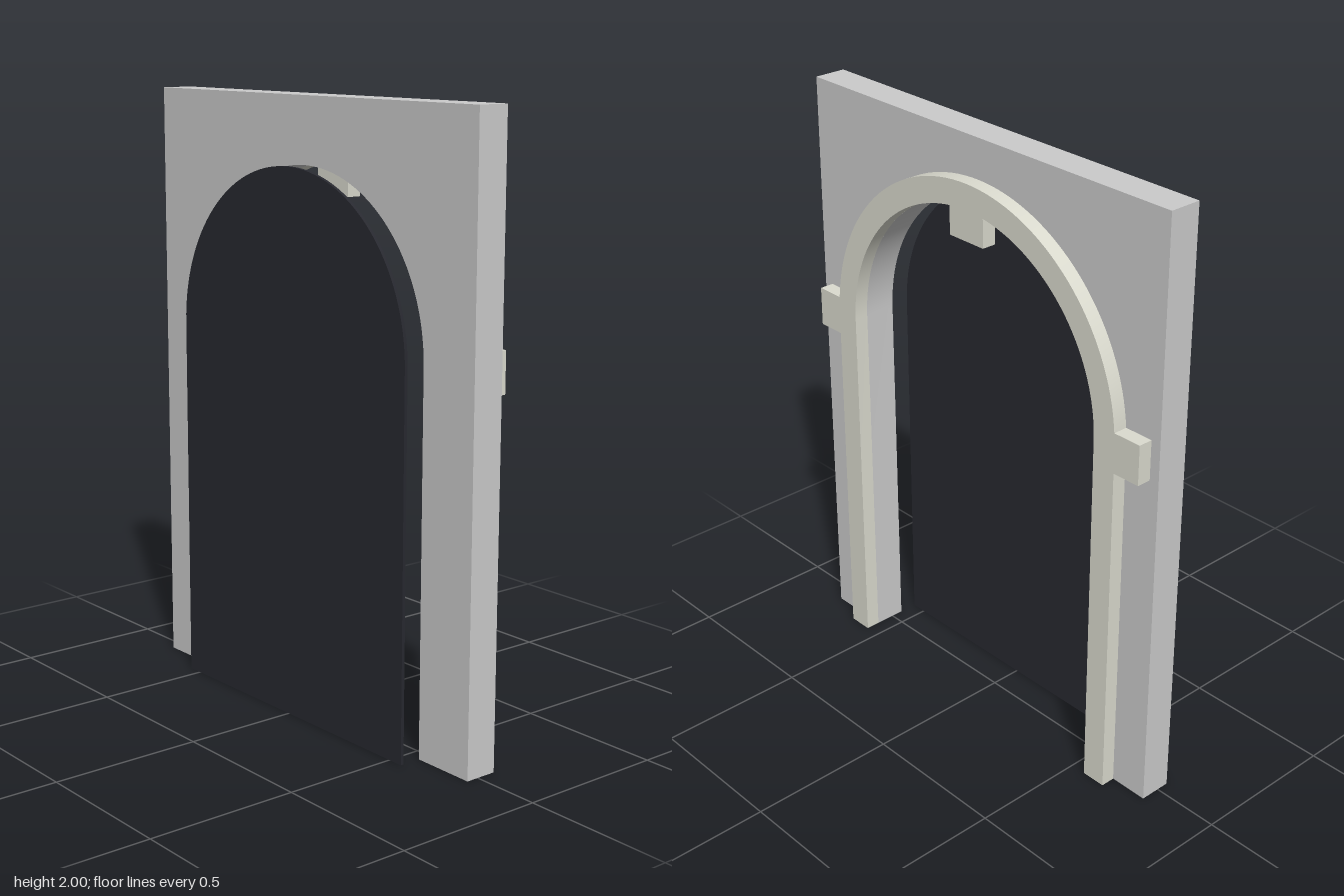
import * as THREE from 'three';
import { toCreasedNormals } from 'three/addons/utils/BufferGeometryUtils.js';

const R = 0.553;        // opening radius
const OUTER = 0.637;    // trim outer radius
const SPRING = 1.232;   // height where the arch starts
const WALL_X = 0.77;

// Extrude a shape between two z planes, smooth on curves and sharp on corners
function slab(name, shape, zBack, zFront, color) {
  const geo = new THREE.ExtrudeGeometry(shape, {
    depth: zFront - zBack, bevelEnabled: false, curveSegments: 32,
  });
  geo.translate(0, 0, zBack);
  const mesh = new THREE.Mesh(toCreasedNormals(geo, 0.5), new THREE.MeshStandardMaterial({ color }));
  mesh.name = name;
  return mesh;
}

export function createModel() {
  const group = new THREE.Group();
  group.name = 'archedDoorway';

  // Wall with an arched opening down to the floor
  const wall = new THREE.Shape();
  wall.moveTo(-WALL_X, 0);
  wall.lineTo(-R, 0);
  wall.lineTo(-R, SPRING);
  wall.absarc(0, SPRING, R, Math.PI, 0, true);
  wall.lineTo(R, 0);
  wall.lineTo(WALL_X, 0);
  wall.lineTo(WALL_X, 2);
  wall.lineTo(-WALL_X, 2);
  wall.closePath();
  group.add(slab('wall', wall, -0.067, 0.042, 0xcccccc));

  // Trim on the back: legs, side blocks, arch and hanging keystone in one outline
  const blockX = 0.735, blockLow = 1.155, blockHigh = 1.288;
  const blockAngle = Math.asin((blockHigh - SPRING) / OUTER);
  const keyX = 0.074, keyLow = 1.685;
  const keyAngle = Math.acos(keyX / R);
  const trim = new THREE.Shape();
  trim.moveTo(R, 0);
  trim.lineTo(OUTER, 0);
  trim.lineTo(OUTER, blockLow);
  trim.lineTo(blockX, blockLow);
  trim.lineTo(blockX, blockHigh);
  trim.absarc(0, SPRING, OUTER, blockAngle, Math.PI - blockAngle, false);
  trim.lineTo(-blockX, blockHigh);
  trim.lineTo(-blockX, blockLow);
  trim.lineTo(-OUTER, blockLow);
  trim.lineTo(-OUTER, 0);
  trim.lineTo(-R, 0);
  trim.absarc(0, SPRING, R, Math.PI, Math.PI - keyAngle, true);
  trim.lineTo(-keyX, keyLow);
  trim.lineTo(keyX, keyLow);
  trim.absarc(0, SPRING, R, keyAngle, 0, true);
  trim.closePath();
  group.add(slab('archTrim', trim, -0.116, -0.067, 0xdbdbcf));

  // Dark panel standing free in front of the opening
  const panel = new THREE.Shape();
  panel.moveTo(-R, 0);
  panel.lineTo(R, 0);
  panel.lineTo(R, SPRING);
  panel.absarc(0, SPRING, R, 0, Math.PI, false);
  panel.closePath();
  group.add(slab('darkPanel', panel, 0.105, 0.116, 0x282930));

  return group;
}
